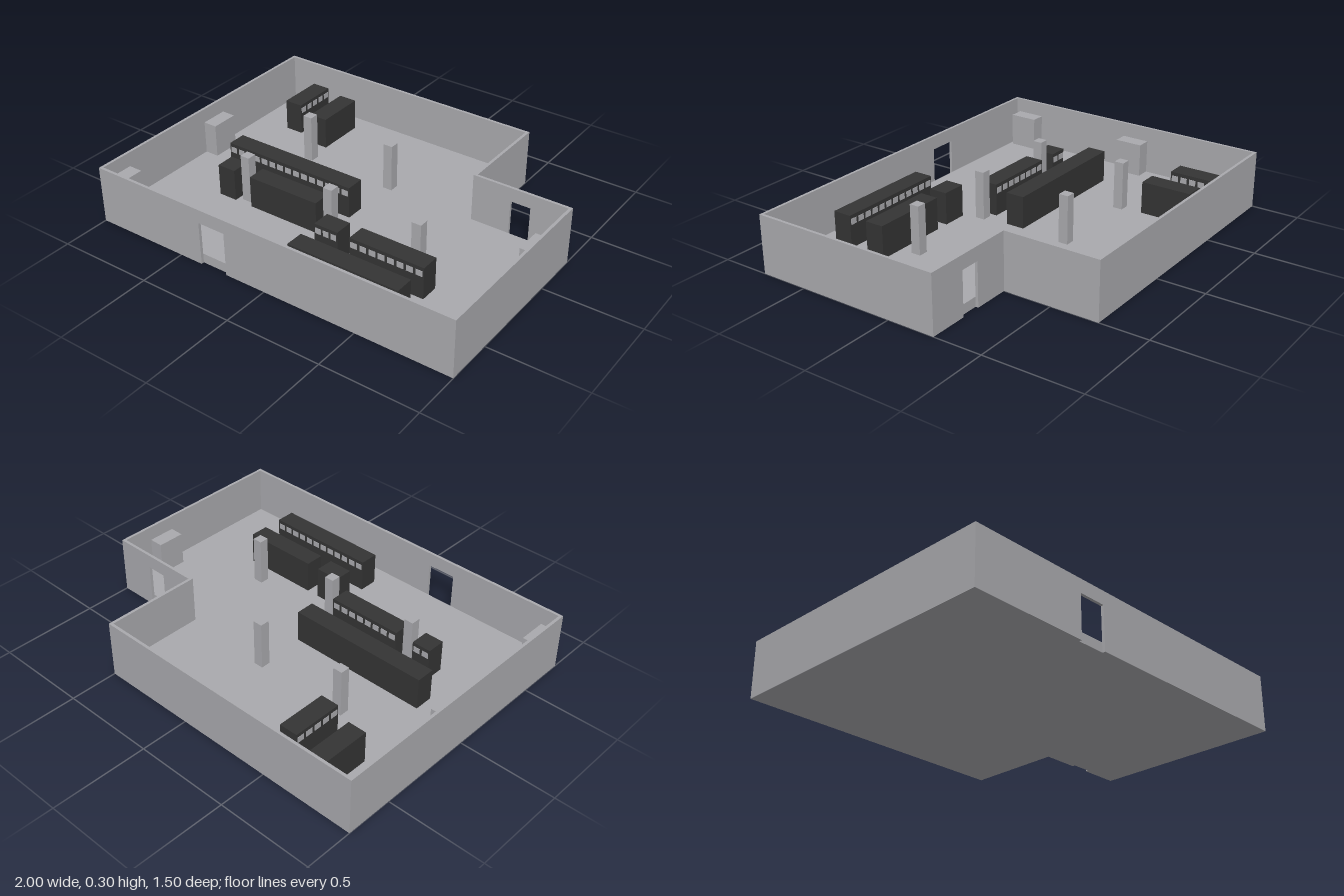
import * as THREE from 'three';

const T = 0.015;        // wall thickness
const H = 0.3;          // wall height
const FLOOR = 0.05;     // raised floor level
const DOOR_TOP = 0.228;
const RACK_TOP = 0.217;

export function createModel() {
  const grey = new THREE.MeshStandardMaterial({ color: 0xa9a9ad });
  grey.name = 'concreteGrey';
  const dark = new THREE.MeshStandardMaterial({ color: 0x343434 });
  dark.name = 'rackCharcoal';

  const model = new THREE.Group();
  model.name = 'serverRoom';

  // Box given by its limits on each axis
  function box(name, mat, x0, x1, y0, y1, z0, z1, parent = model) {
    const mesh = new THREE.Mesh(new THREE.BoxGeometry(x1 - x0, y1 - y0, z1 - z0), mat);
    mesh.position.set((x0 + x1) / 2, (y0 + y1) / 2, (z0 + z1) / 2);
    mesh.name = name;
    parent.add(mesh);
    return mesh;
  }

  // Wall along x with a doorway cut down to the ground
  function doorWall(name, x0, x1, d0, d1, z0) {
    const s = new THREE.Shape();
    [[x0, 0], [d0, 0], [d0, DOOR_TOP], [d1, DOOR_TOP], [d1, 0], [x1, 0], [x1, H], [x0, H]]
      .forEach(([x, y], i) => (i ? s.lineTo(x, y) : s.moveTo(x, y)));
    const mesh = new THREE.Mesh(
      new THREE.ExtrudeGeometry(s, { depth: T, bevelEnabled: false }), grey);
    mesh.position.z = z0;
    mesh.name = name;
    model.add(mesh);
  }

  // Outer walls of the L-shaped room
  doorWall('frontWall', -1, 1, -0.372, -0.222, 0.75 - T);
  doorWall('recessWall', 0.5, 1, 0.69, 0.795, -0.25);
  box('backWall', grey, -1, 0.5, 0, H, -0.75, -0.75 + T);
  box('rightWall', grey, -1, -1 + T, 0, H, -0.75 + T, 0.75 - T);
  box('leftWall', grey, 1 - T, 1, 0, H, -0.25 + T, 0.75 - T);
  box('recessSideWall', grey, 0.5 - T, 0.5, 0, H, -0.75 + T, -0.25 + T);

  // Raised floor between the walls
  box('mainFloor', grey, -1 + T, 0.5 - T, 0, FLOOR, -0.75 + T, 0.75 - T);
  box('sideFloor', grey, 0.5 - T, 1 - T, 0, FLOOR, -0.25 + T, 0.75 - T);

  // Columns
  for (const [x, z] of [[-0.5, -0.25], [0, -0.25], [-0.5, 0.245], [0, 0.245], [0.495, 0.245]]) {
    box('column', grey, x - 0.025, x + 0.025, FLOOR, H, z - 0.025, z + 0.025);
  }

  // Cooling units against the side walls
  box('coolingUnit', grey, -1 + T, -0.91, FLOOR, 0.225, -0.122, 0.025);
  box('coolingUnit', grey, -1 + T, -0.91, FLOOR, 0.225, 0.567, 0.717);
  box('coolingUnit', grey, 0.91, 1 - T, FLOOR, 0.225, -0.075, 0.07);

  // Row of racks with a small grey panel near the top of each rack's front
  function rackRow(x, z, length, count, turn) {
    const row = new THREE.Group();
    row.name = 'rackRow';
    box('rackCabinets', dark, -length / 2, length / 2, FLOOR, RACK_TOP, -0.049, 0.049, row);
    const step = length / count;
    for (let i = 0; i < count; i++) {
      const c = -length / 2 + (i + 0.5) * step;
      box('rackPanel', grey, c - step * 0.36, c + step * 0.36, 0.168, 0.198, 0.049, 0.051, row);
    }
    row.position.set(x, 0, z);
    row.rotation.y = turn;
    model.add(row);
  }
  rackRow(-0.75, -0.547, 0.245, 5, Math.PI / 2);
  rackRow(-0.547, -0.507, 0.265, 5, -Math.PI / 2);
  rackRow(-0.373, 0.049, 0.745, 15, 0);
  rackRow(-0.6, 0.247, 0.1, 2, Math.PI);
  rackRow(-0.25, 0.247, 0.4, 8, Math.PI);
  rackRow(0.113, 0.384, 0.13, 3, 0);
  rackRow(0.445, 0.384, 0.4, 8, 0);
  rackRow(0.347, 0.583, 0.595, 12, Math.PI);

  return model;
}
